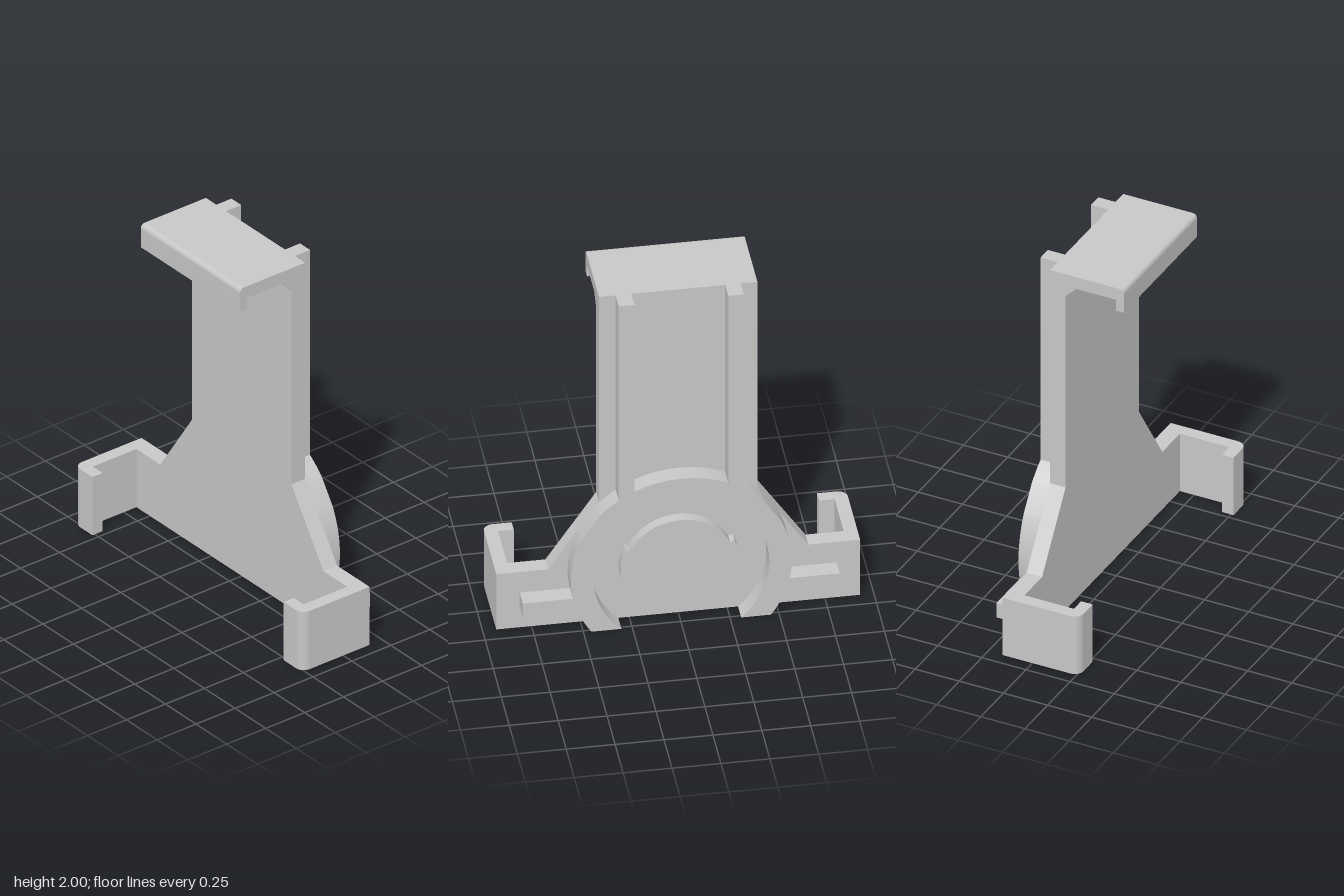
import * as THREE from 'three';
import { toCreasedNormals } from 'three/addons/utils/BufferGeometryUtils.js';

const BACK = -0.265, PLATE_BACK = -0.168, PLATE_FRONT = -0.08;
const RING_Y = 0.33, RING_R = 0.565, HOLE_R = 0.45, BASE_H = 0.342;

export function createModel() {
  const group = new THREE.Group();
  const grey = new THREE.MeshStandardMaterial({ color: 0xc7c7c7 });
  grey.name = 'light grey';

  const polygon = (pts) => new THREE.Shape(pts.map(([x, y]) => new THREE.Vector2(x, y)));
  const extrude = (shape, depth) =>
    new THREE.ExtrudeGeometry(shape, { depth, bevelEnabled: false, curveSegments: 48 });
  const add = (name, geometry) => {
    const mesh = new THREE.Mesh(toCreasedNormals(geometry, 0.5), grey);
    mesh.name = name;
    group.add(mesh);
  };
  // Outline in x/y, thickened from z0 to z1
  const addSlab = (name, shape, z0, z1) => add(name, extrude(shape, z1 - z0).translate(0, 0, z0));

  // Back plate with a flared foot
  addSlab('backPlate', polygon([
    [-0.86, 0], [0.86, 0], [0.86, BASE_H], [0.665, BASE_H], [0.405, 0.73], [0.405, 1.87],
    [-0.405, 1.87], [-0.405, 0.73], [-0.665, BASE_H], [-0.86, BASE_H],
  ]), PLATE_BACK, PLATE_FRONT);

  // Top hook: side profile in z/y, swept across the width
  const hook = new THREE.Shape();
  hook.moveTo(PLATE_BACK, 1.87);
  hook.lineTo(PLATE_FRONT, 1.87);
  hook.lineTo(-0.02, 1.93);
  hook.lineTo(0.205, 1.93);
  hook.lineTo(0.205, 1.865);
  hook.lineTo(0.25, 1.865);
  hook.lineTo(0.25, 1.975);
  hook.absarc(0.225, 1.975, 0.025, 0, Math.PI / 2, false);
  hook.lineTo(PLATE_BACK, 2);
  add('topHook', extrude(hook, 0.81).rotateY(-Math.PI / 2).translate(0.405, 0, 0));

  for (const s of [-1, 1]) {
    const side = s > 0 ? 'left' : 'right';

    // Side clip: plan profile in x/z, swept upward
    const clip = new THREE.Shape();
    clip.moveTo(s * 0.86, PLATE_BACK);
    clip.lineTo(s * 0.93, PLATE_BACK);
    clip.lineTo(s * 0.93, 0.215);
    clip.absarc(s * 0.88, 0.215, 0.05, s > 0 ? 0 : Math.PI, Math.PI / 2, s < 0);
    clip.lineTo(s * 0.78, 0.265);
    clip.lineTo(s * 0.78, 0.2);
    clip.lineTo(s * 0.86, 0.2);
    add(side + 'Clip', extrude(clip, BASE_H).rotateX(Math.PI / 2).translate(0, BASE_H, 0));

    // Upright rib and short bar, both ending on the ring
    const ringTop = (x) => RING_Y + Math.sqrt(RING_R ** 2 - x ** 2);
    const ringSide = (y) => Math.sqrt(RING_R ** 2 - (y - RING_Y) ** 2);
    addSlab(side + 'Rib', polygon([
      [s * 0.24, ringTop(0.24)], [s * 0.32, ringTop(0.32)], [s * 0.32, 2], [s * 0.24, 2],
    ]), BACK, PLATE_BACK);
    addSlab(side + 'Bar', polygon([
      [s * ringSide(0.13), 0.13], [s * 0.81, 0.13], [s * 0.81, 0.215], [s * ringSide(0.215), 0.215],
    ]), BACK, PLATE_BACK);
  }

  // Mounting ring, cut off at the base line and trimmed flat along the plate's slopes
  const outer = Math.asin(-RING_Y / RING_R), inner = Math.asin(-RING_Y / HOLE_R);
  const flatLow = 0.454, flatHigh = 0.734;
  const ring = new THREE.Shape();
  ring.absarc(0, RING_Y, RING_R, outer, flatLow, false);
  ring.absarc(0, RING_Y, RING_R, flatHigh, Math.PI - flatHigh, false);
  ring.absarc(0, RING_Y, RING_R, Math.PI - flatLow, Math.PI - outer, false);
  ring.absarc(0, RING_Y, HOLE_R, Math.PI - inner, inner, true);
  addSlab('mountingRing', ring, BACK, PLATE_BACK);

  // Central disc with a wider tab on each side
  const tab = 0.42;
  const disc = new THREE.Shape();
  disc.absarc(0, RING_Y, 0.305, -tab, tab, false);
  disc.absarc(0, RING_Y, 0.28, tab, Math.PI - tab, false);
  disc.absarc(0, RING_Y, 0.305, Math.PI - tab, Math.PI + tab, false);
  disc.absarc(0, RING_Y, 0.28, Math.PI + tab, 2 * Math.PI - tab, false);
  addSlab('centreDisc', disc, -0.225, PLATE_BACK);

  return group;
}
